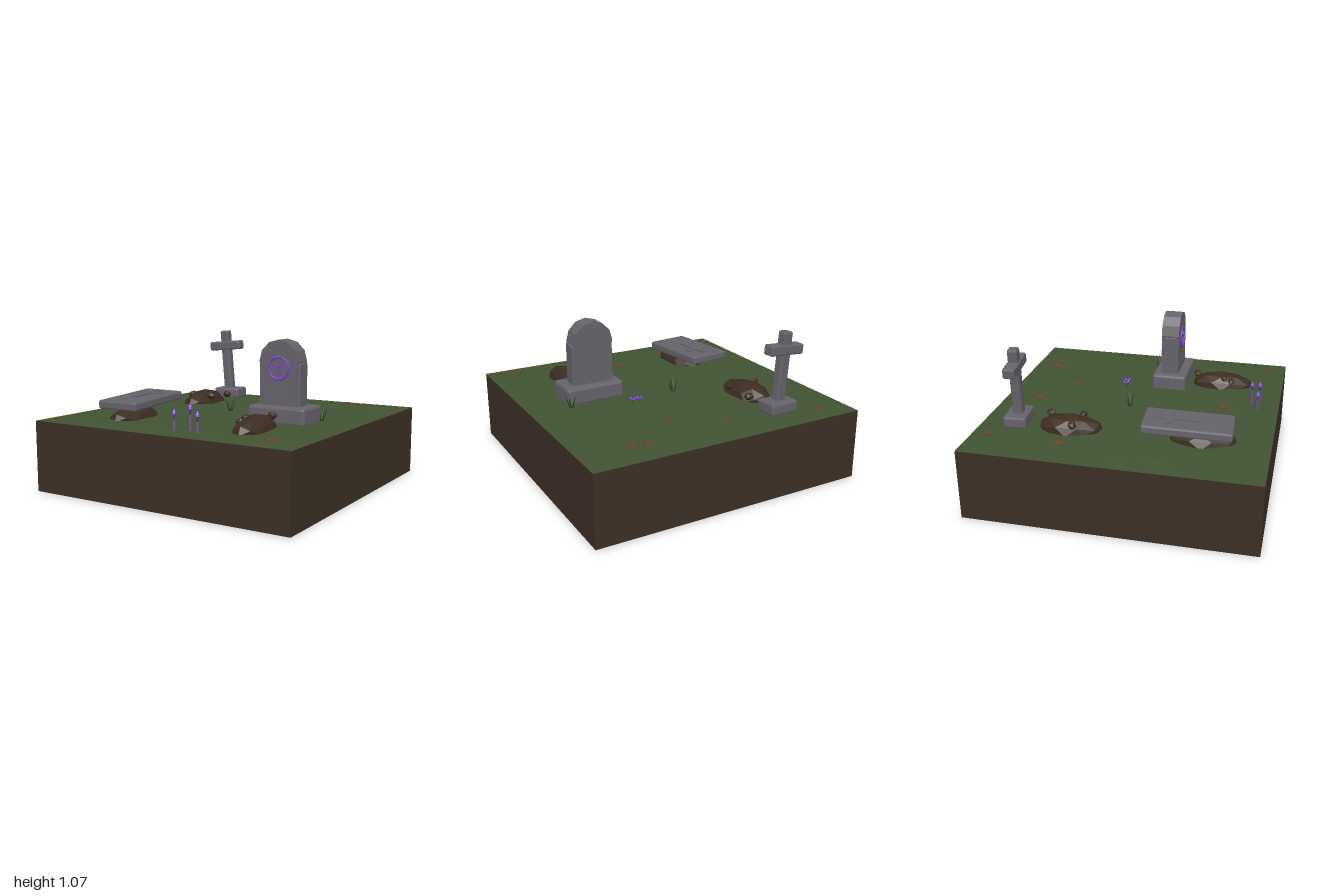
import * as THREE from 'three';
import { RoundedBoxGeometry } from 'three/addons/geometries/RoundedBoxGeometry.js';

const mat = (name, color, side = THREE.FrontSide) => {
  const m = new THREE.MeshStandardMaterial({ color, side });
  m.name = name;
  return m;
};

// Faceted copy of a geometry
function facet(geo) {
  const g = geo.index ? geo.toNonIndexed() : geo;
  g.computeVertexNormals();
  return g;
}

// Repeatable noise from a position, -1..1
function noise(x, y, z) {
  const s = Math.sin(Math.round(x * 100) * 12.9898 + Math.round(y * 100) * 78.233 + Math.round(z * 100) * 37.719) * 43758.5453;
  return (s - Math.floor(s)) * 2 - 1;
}

export function createModel() {
  const soil = mat('soil', 0x3b2f25);
  const grass = mat('grass', 0x415233, THREE.DoubleSide);
  const stone = mat('stone', 0x65626a);
  const earth = mat('moundEarth', 0x3c2c20);
  const purple = mat('purpleGlow', 0x7d3fd2);
  const leafBrown = mat('dryLeaf', 0x6b452b, THREE.DoubleSide);
  const blade = mat('grassBlade', 0x344a2b, THREE.DoubleSide);
  const wax = mat('candleWax', 0x5d5766);
  const dark = mat('wick', 0x241f24);

  const root = new THREE.Group();
  root.name = 'graveyard';

  function add(parent, name, geo, material, x = 0, y = 0, z = 0, rx = 0, ry = 0, rz = 0) {
    const m = new THREE.Mesh(facet(geo), material);
    m.name = name;
    m.position.set(x, y, z);
    m.rotation.set(rx, ry, rz);
    parent.add(m);
    return m;
  }
  function group(name, x = 0, y = 0, z = 0) {
    const g = new THREE.Group();
    g.name = name;
    g.position.set(x, y, z);
    root.add(g);
    return g;
  }
  const box = (w, h, d) => new THREE.BoxGeometry(w, h, d);
  const chamfered = (w, h, d, r = 0.012) => new RoundedBoxGeometry(w, h, d, 1, r);

  // Ground block and uneven turf
  add(root, 'soilBlock', box(2, 0.5, 2), soil, 0, 0.25, 0);
  const turf = new THREE.PlaneGeometry(2, 2, 12, 12).rotateX(-Math.PI / 2);
  const tp = turf.attributes.position;
  for (let i = 0; i < tp.count; i++) {
    const x = tp.getX(i), z = tp.getZ(i);
    const edge = Math.max(Math.abs(x), Math.abs(z)) > 0.99;
    tp.setY(i, edge ? 0.502 : 0.512 + 0.008 * noise(x, 0, z));
  }
  add(root, 'turf', turf, grass);

  // Arched headstone
  const head = group('headstone', 0.49, 0, 0.155);
  add(head, 'headstoneBase', chamfered(0.43, 0.125, 0.255, 0.018), stone, 0.01, 0.5625, 0.003);
  add(head, 'headstoneBody', chamfered(0.305, 0.32, 0.115, 0.01), stone, 0.002, 0.755, 0);
  const arch = new THREE.CylinderGeometry(0.148, 0.148, 0.13, 12).rotateX(Math.PI / 2);
  add(head, 'headstoneArch', arch, stone, -0.004, 0.922, 0);
  add(head, 'headstoneFace', box(0.285, 0.31, 0.13), stone, -0.004, 0.767, 0);
  add(head, 'emblemRing', new THREE.TorusGeometry(0.075, 0.008, 6, 24), purple, -0.003, 0.877, 0.067);
  add(head, 'emblemStem', box(0.012, 0.05, 0.009), purple, -0.003, 0.858, 0.067);
  for (const s of [-1, 1]) {
    add(head, 'emblemBranch', box(0.012, 0.04, 0.009), purple, -0.003 + s * 0.013, 0.895, 0.067, 0, 0, -s * 0.75);
  }
  [0.15, 0.13, 0.15].forEach((w, i) => {
    add(head, 'carvedLine', box(w, 0.005, 0.004), stone, -0.004, 0.755 - i * 0.035, 0.066);
  });

  // Leaning cross
  add(root, 'crossBase', chamfered(0.22, 0.085, 0.16, 0.015), stone, -0.502, 0.55, -0.745, 0, 0.06, 0.02);
  const cross = group('cross', -0.503, 0.56, -0.74);
  cross.rotation.set(0, 0.06, 0.085);
  add(cross, 'crossShaft', chamfered(0.072, 0.51, 0.07), stone, 0, 0.255, 0);
  add(cross, 'crossArms', chamfered(0.28, 0.072, 0.085), stone, 0, 0.385, 0);

  // Tilted grave slab with a raised cross
  const slab = group('graveSlab', -0.505, 0.622, 0.447);
  slab.rotation.set(0.035, 0.068, -0.015);
  add(slab, 'slabPlate', chamfered(0.31, 0.06, 0.6, 0.012), stone);
  add(slab, 'slabCrossStem', box(0.042, 0.012, 0.31), stone, 0, 0.032, -0.075);
  add(slab, 'slabCrossArms', box(0.185, 0.012, 0.042), stone, 0, 0.032, -0.125);

  // Earth mounds with clods
  function rock(r, wobble) {
    const geo = new THREE.IcosahedronGeometry(1, r);
    const p = geo.attributes.position;
    for (let i = 0; i < p.count; i++) {
      const x = p.getX(i), y = p.getY(i), z = p.getZ(i);
      const k = 1 + wobble * noise(x, y, z);
      p.setXYZ(i, x * k, y * k, z * k);
    }
    return geo;
  }
  const mounds = [
    [-0.51, -0.37, 0.13, 0.105, 0.225, 0.03, [[-0.41, -0.54, 0.56], [-0.6, -0.33, 0.57], [-0.41, -0.305, 0.57]]],
    [0.495, 0.54, 0.12, 0.105, 0.23, 0.07, [[0.51, 0.35, 0.575], [0.435, 0.56, 0.575], [0.43, 0.615, 0.56]]],
    [-0.495, 0.54, 0.13, 0.095, 0.23, 0.06, []],
  ];
  for (const [x, z, w, h, d, yaw, clods] of mounds) {
    add(root, 'earthMound', rock(1, 0.08).scale(w, h, d), earth, x, 0.5, z, 0, yaw, 0);
    clods.forEach(([cx, cz, cy], i) => {
      add(root, 'earthClod', rock(0, 0.1).scale(0.034, 0.028, 0.034), earth, cx, cy, cz, i, i * 2, 0);
    });
  }

  // Candles with purple flames
  for (const [x, z, h] of [[0.08, 0.85, 0.07], [0.17, 0.8, 0.105], [0.26, 0.85, 0.07]]) {
    const c = group('candle', x, 0.51, z);
    add(c, 'candleStick', new THREE.CylinderGeometry(0.016, 0.018, h, 6), wax, 0, h / 2, 0);
    add(c, 'candleWick', new THREE.CylinderGeometry(0.003, 0.003, 0.03, 5), dark, 0, h + 0.012, 0);
    const flame = new THREE.LatheGeometry([[0, 0], [0.017, 0.02], [0.014, 0.033], [0, 0.058]].map(p => new THREE.Vector2(...p)), 6);
    add(c, 'candleFlame', flame, purple, 0, h + 0.015, 0);
  }

  // Small purple flowers
  for (const x of [0.262, 0.312]) {
    const f = group('flower', x, 0.51, -0.167);
    add(f, 'flowerStem', new THREE.CylinderGeometry(0.003, 0.003, 0.045, 5), blade, 0, 0.022, 0);
    add(f, 'flowerHeart', new THREE.IcosahedronGeometry(0.008, 0), dark, 0, 0.05, 0);
    for (let i = 0; i < 5; i++) {
      const a = i * Math.PI * 0.4;
      add(f, 'petal', new THREE.IcosahedronGeometry(0.012, 0).scale(1, 0.6, 1), purple, Math.cos(a) * 0.015, 0.047, Math.sin(a) * 0.015);
    }
  }

  // Grass tufts
  for (const [x, z] of [[-0.07, -0.06], [0.705, 0.0]]) {
    const t = group('grassTuft', x, 0.505, z);
    for (let i = 0; i < 7; i++) {
      const a = i * 2.4, h = 0.09 + 0.035 * ((i * 3) % 4) / 3;
      const g = new THREE.BufferGeometry();
      g.setAttribute('position', new THREE.Float32BufferAttribute([-0.009, 0, 0, 0.009, 0, 0, 0, h, 0.035], 3));
      add(t, 'grassBlade', g, blade, Math.sin(a) * 0.012, 0, Math.cos(a) * 0.012, 0, a, 0);
    }
  }

  // Fallen leaves
  const leaves = [[-0.74, -0.88, 0.3], [-0.77, -0.37, 1.2], [-0.1, -0.74, 1.5], [0.24, -0.54, 0.5],
    [0.54, -0.82, 0.4], [0.65, -0.81, 1.4], [0.04, 0.61, -0.4], [0.79, 0.86, 1.5]];
  for (const [x, z, yaw] of leaves) {
    add(root, 'fallenLeaf', new THREE.CylinderGeometry(0.042, 0.042, 0.006, 4).scale(0.72, 1, 1), leafBrown, x, 0.522, z, 0.04, yaw, 0.05);
  }

  return root;
}
